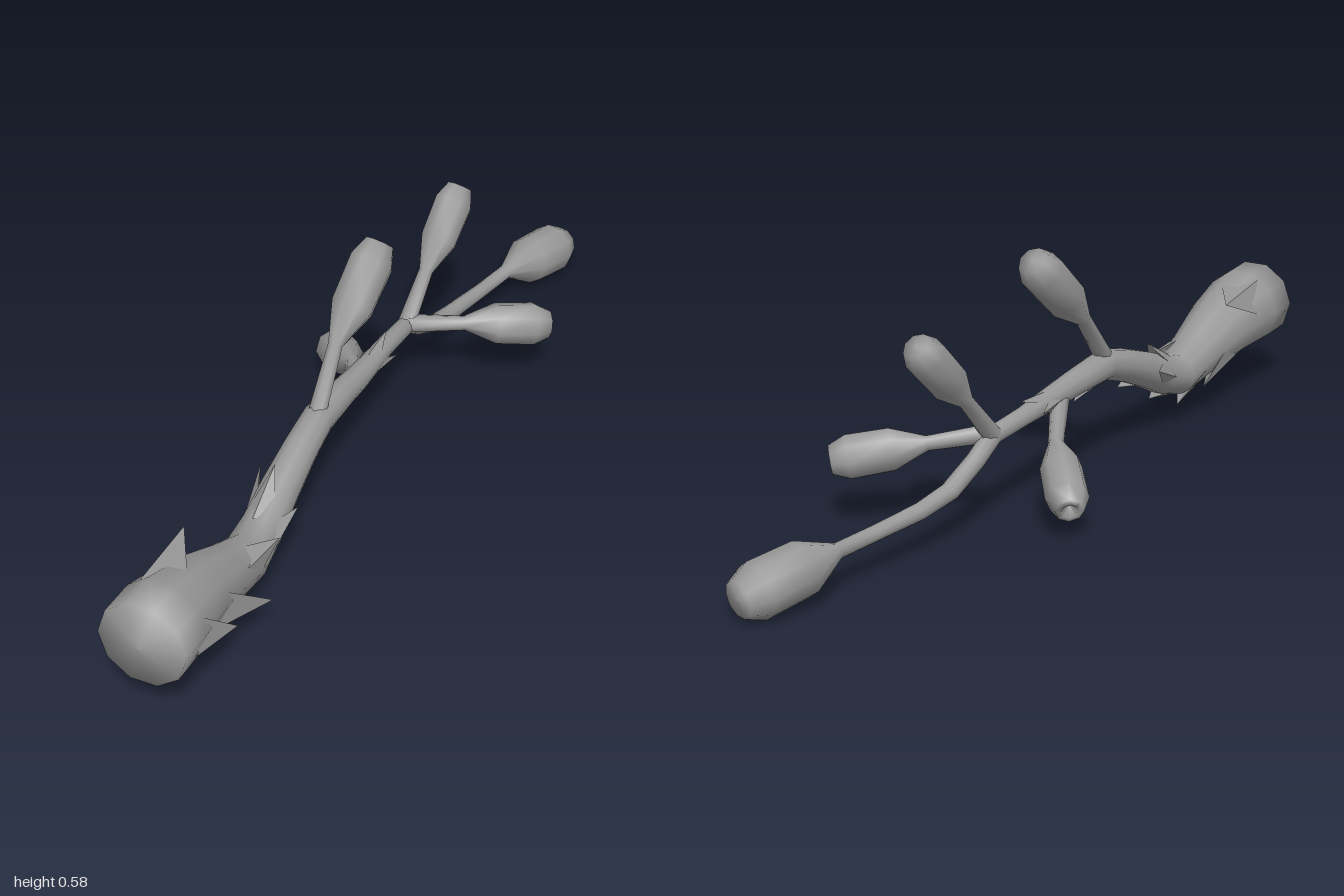
import * as THREE from 'three';

const material = new THREE.MeshStandardMaterial({ color: 0x999999 });
const flapMaterial = new THREE.MeshStandardMaterial({ color: 0x999999, side: THREE.DoubleSide });

// Smooth swept tube through rings given as [x, y, z, radius]
function sweep(name, rings, sides) {
  const pts = rings.map(([x, y, z]) => new THREE.Vector3(x, y, z));
  const pos = [], index = [];
  const up = new THREE.Vector3(0, 1, 0);
  let last = null;
  rings.forEach((ring, k) => {
    const t = pts[Math.min(k + 1, pts.length - 1)].clone().sub(pts[Math.max(k - 1, 0)]).normalize();
    if (last && t.dot(last) < 0) t.negate();
    last = t;
    const u = up.clone().cross(t).normalize();
    const v = t.clone().cross(u);
    for (let i = 0; i < sides; i++) {
      const a = (i / sides) * Math.PI * 2;
      const p = pts[k].clone().addScaledVector(u, ring[3] * Math.cos(a)).addScaledVector(v, ring[3] * Math.sin(a));
      pos.push(p.x, p.y, p.z);
      if (k + 1 < rings.length) {
        const a0 = k * sides + i, a1 = k * sides + (i + 1) % sides;
        index.push(a0, a1, a0 + sides, a1, a1 + sides, a0 + sides);
      }
    }
  });
  const g = new THREE.BufferGeometry();
  g.setAttribute('position', new THREE.Float32BufferAttribute(pos, 3));
  g.setIndex(index);
  g.computeVertexNormals();
  const mesh = new THREE.Mesh(g, material);
  mesh.name = name;
  return mesh;
}

// Rings of a swollen bud from neck to tip; a pitted bud is hollow at its end
function budRings(neck, tip, r, pitted) {
  const profile = [[0, 0.018], [0.36, r * 0.96], [0.8, r], [0.985, r * 0.66]];
  if (pitted) profile.push([1, r * 0.4], [0.88, 0]);
  else profile.push([1, 0]);
  return profile.map(([f, radius]) => [...neck.map((n, i) => n + (tip[i] - n) * f), radius]);
}

// Main stem: thick butt at the front, thinning towards the back
const stem = [
  [-0.052, 0.217, 1.0, 0], [-0.052, 0.217, 0.985, 0.102], [-0.053, 0.212, 0.9, 0.102],
  [-0.05, 0.19, 0.78, 0.086], [-0.045, 0.155, 0.67, 0.068],
  [-0.042, 0.122, 0.56, 0.056], [-0.043, 0.143, 0.48, 0.05], [-0.045, 0.182, 0.39, 0.046],
  [-0.045, 0.22, 0.29, 0.041], [-0.044, 0.246, 0.2, 0.038], [-0.042, 0.238, 0.08, 0.033],
  [-0.04, 0.23, 0, 0.03], [-0.04, 0.219, -0.15, 0.023], [-0.037, 0.21, -0.27, 0.022],
  [-0.032, 0.17, -0.33, 0.022], [-0.024, 0.125, -0.42, 0.022], [-0.012, 0.108, -0.52, 0.02],
  [0.012, 0.098, -0.65, 0.018]
];

// Stem centre and radius at a given z
function stemAt(z) {
  let k = 1;
  while (k < stem.length - 2 && stem[k + 1][2] > z) k++;
  const a = stem[k], b = stem[k + 1], f = (a[2] - z) / (a[2] - b[2]);
  return a.map((n, i) => n + (b[i] - n) * f);
}

// Broad pointed bark flap: tip position, length forward to its root, half spread in degrees
function barkFlap([tip, length, spread]) {
  const [cx, cy] = stemAt(tip[2]);
  const angle = Math.atan2(tip[1] - cy, tip[0] - cx);
  const on = (z, degrees, scale) => {
    const [x, y, , r] = stemAt(z);
    const a = angle + degrees * Math.PI / 180;
    return [x + r * scale * Math.cos(a), y + r * scale * Math.sin(a), z];
  };
  const root = tip[2] + length;
  const left = on(root - length * 0.25, -spread, 0.97), right = on(root - length * 0.25, spread, 0.97);
  const ridge = on(root, 0, 1), inner = on(root - length * 0.5, 0, 0.9);
  const g = new THREE.BufferGeometry();
  g.setAttribute('position', new THREE.Float32BufferAttribute([ridge, left, right, tip, inner].flat(), 3));
  g.setIndex([0, 3, 1, 0, 2, 3, 1, 3, 4, 3, 2, 4]);
  const flat = g.toNonIndexed();
  flat.computeVertexNormals();
  const mesh = new THREE.Mesh(flat, flapMaterial);
  mesh.name = 'barkFlap';
  return mesh;
}

export function createModel() {
  const group = new THREE.Group();

  // Stem, ending in the longest bud
  group.add(sweep('stem', [...stem, ...budRings([0.03, 0.092, -0.755], [0.096, 0.058, -1], 0.064, false)], 10));

  // Side twigs: root, neck, tip, bud radius, pitted end
  const twigs = [
    ['frontUpperTwig', [-0.045, 0.24, 0.22], [-0.047, 0.385, 0.1], [-0.018, 0.564, -0.08], 0.053, false],
    ['rightTwig', [-0.04, 0.225, 0.01], [-0.115, 0.162, -0.13], [-0.247, 0.078, -0.285], 0.05, true],
    ['leftTwig', [-0.035, 0.215, -0.27], [0.08, 0.195, -0.355], [0.253, 0.162, -0.485], 0.053, false],
    ['backUpperTwig', [-0.037, 0.21, -0.27], [-0.026, 0.315, -0.36], [-0.004, 0.477, -0.512], 0.048, false]
  ];
  for (const [name, root, neck, tip, r, pitted] of twigs)
    group.add(sweep(name, [[...root, 0.023], ...budRings(neck, tip, r, pitted)], 8));

  // Bark flaps: tip, length, half spread
  const flaps = [
    [[-0.115, 0.28, 0.69], 0.2, 48], [[0.06, 0.15, 0.79], 0.14, 45], [[0.055, 0.085, 0.625], 0.19, 48],
    [[-0.03, 0.057, 0.665], 0.17, 48], [[-0.08, 0.062, 0.505], 0.15, 50], [[-0.103, 0.085, 0.6], 0.16, 48],
    [[0.02, 0.165, 0.52], 0.13, 45], [[-0.055, 0.25, 0.39], 0.12, 48], [[-0.04, 0.092, 0.43], 0.12, 48],
    [[-0.115, 0.2, 0.345], 0.13, 48], [[0.015, 0.175, 0.42], 0.11, 48], [[-0.03, 0.16, 0.29], 0.11, 48],
    [[-0.045, 0.192, 0.06], 0.1, 50], [[-0.042, 0.258, -0.165], 0.1, 55], [[-0.075, 0.222, -0.12], 0.09, 50],
    [[-0.01, 0.2, -0.16], 0.09, 50]
  ];
  const bark = new THREE.Group();
  bark.name = 'bark';
  flaps.forEach(f => bark.add(barkFlap(f)));
  group.add(bark);
  return group;
}
